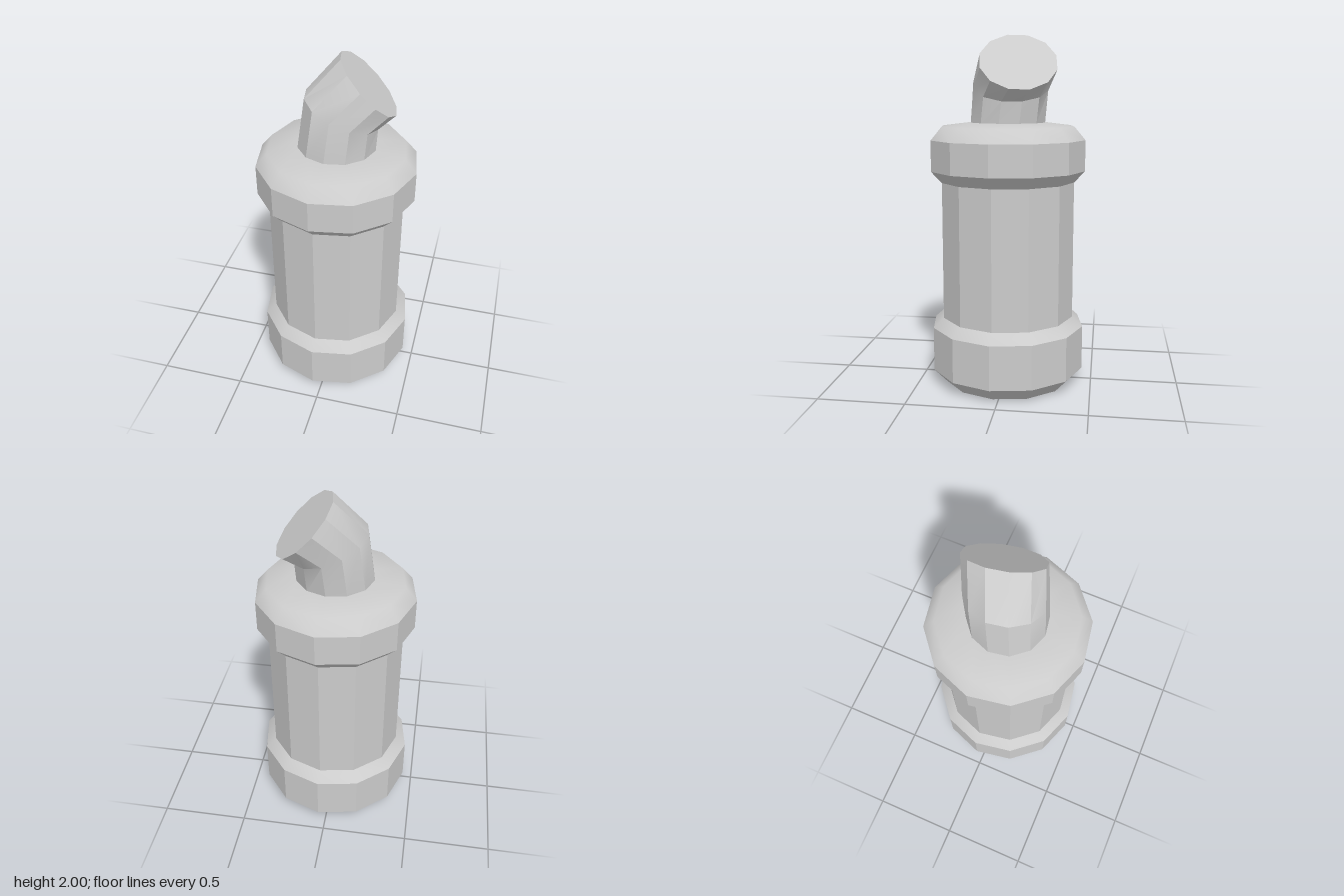
import * as THREE from 'three';
import { toCreasedNormals } from 'three/addons/utils/BufferGeometryUtils.js';

const SIDES = 12;
const TURN = -0.09; // slight twist of all twelve-sided rings
const CREASE = 0.5; // wall facets stay flat, bevels shade smoothly

const material = new THREE.MeshStandardMaterial({ color: 0xcccccc });

function addMesh(group, name, geometry) {
  const mesh = new THREE.Mesh(geometry, material);
  mesh.name = name;
  group.add(mesh);
}

// Surface of revolution from [radius, height] pairs, bottom to top
function lathe(profile) {
  const points = profile.map(([r, y]) => new THREE.Vector2(r, y));
  return new THREE.LatheGeometry(points, SIDES, TURN);
}

// Tube through tilted circles, closed at its far end
function elbow(rings, radius) {
  const up = new THREE.Vector3(0, 1, 0);
  const positions = [];
  const index = [];
  for (const { center, normal } of rings) {
    const tilt = new THREE.Quaternion().setFromUnitVectors(up, new THREE.Vector3(...normal).normalize());
    for (let j = 0; j < SIDES; j++) {
      const a = TURN + (j / SIDES) * Math.PI * 2;
      const p = new THREE.Vector3(Math.sin(a) * radius, 0, Math.cos(a) * radius);
      p.applyQuaternion(tilt).add(new THREE.Vector3(...center));
      positions.push(p.x, p.y, p.z);
    }
  }
  for (let i = 0; i < rings.length - 1; i++) {
    for (let j = 0; j < SIDES; j++) {
      const k = (j + 1) % SIDES;
      const a = i * SIDES + j, b = i * SIDES + k;
      index.push(a, b, b + SIDES, a, b + SIDES, a + SIDES);
    }
  }
  // End cap
  const last = (rings.length - 1) * SIDES;
  for (let j = 1; j < SIDES - 1; j++) index.push(last, last + j, last + j + 1);

  const geometry = new THREE.BufferGeometry();
  geometry.setAttribute('position', new THREE.Float32BufferAttribute(positions, 3));
  geometry.setIndex(index);
  return toCreasedNormals(geometry, CREASE);
}

export function createModel() {
  const group = new THREE.Group();
  group.name = 'canister';

  // Bottom collar with bevels and flat underside
  addMesh(group, 'bottomCollar', toCreasedNormals(lathe([
    [0, 0], [0.372, 0], [0.448, 0.08], [0.448, 0.335], [0.387, 0.39],
  ]), CREASE));

  // Straight barrel
  addMesh(group, 'barrel', toCreasedNormals(lathe([[0.387, 0.39], [0.387, 1.18]]), CREASE));

  // Top collar
  addMesh(group, 'topCollar', toCreasedNormals(lathe([
    [0.387, 1.18], [0.448, 1.245], [0.448, 1.42],
  ]), CREASE));

  // Softly shaded shoulder
  addMesh(group, 'shoulder', lathe([
    [0.448, 1.42], [0.385, 1.495], [0.21, 1.517], [0, 1.517],
  ]));

  // Bent spout
  addMesh(group, 'spout', elbow([
    { center: [0, 1.51, 0], normal: [0, 1, 0] },
    { center: [0.022, 1.717, -0.019], normal: [0.41, 1, -0.08] },
    { center: [0.15, 1.85, -0.08], normal: [1, 1, -0.21] },
  ], 0.217));

  return group;
}
